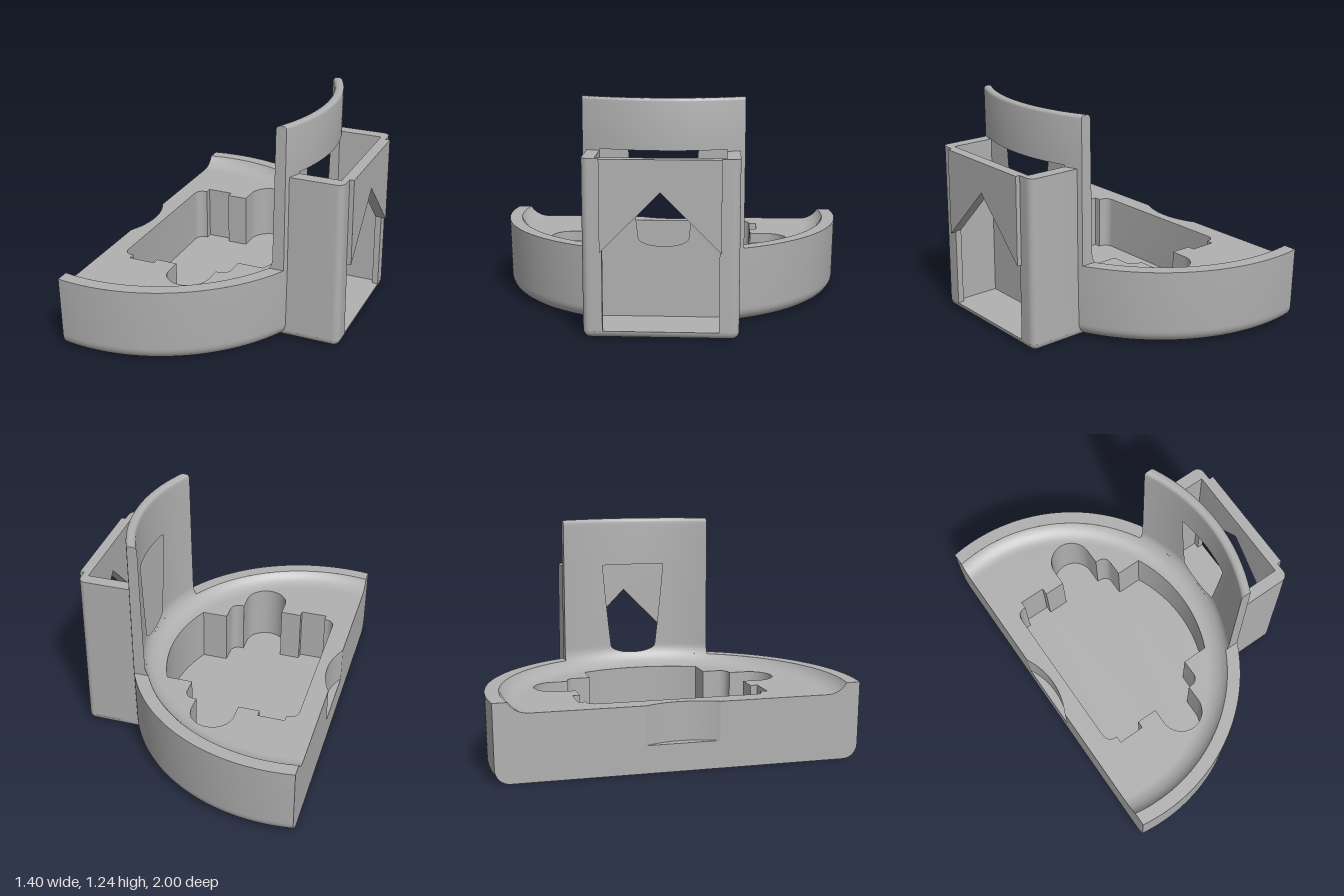
import * as THREE from 'three';
import { toCreasedNormals } from 'three/addons/utils/BufferGeometryUtils.js';

const CX = -0.54, CUT = -0.7;        // dish axis and the flat cut plane
const WALL_Z = 0.435, CAV_Z = 0.34;  // half widths of the tall wall and the housing cavity
const CAV_X = 0.39, HOLE_TOP = 0.965;
const PI = Math.PI;

const grey = new THREE.MeshStandardMaterial({ color: 0xb0b0b0, side: THREE.DoubleSide });
grey.name = 'grey plastic';

const range = (n, f) => Array.from({ length: n + 1 }, (_, i) => f(i / n));
const lerp = THREE.MathUtils.lerp;
const arc = (cx, cz, r, a, b, n = 16) =>
  range(n, t => [cx + r * Math.cos(lerp(a, b, t)), cz + r * Math.sin(lerp(a, b, t))]);
const mirrorZ = pts => pts.map(([x, z]) => [x, -z]);
const shapeOf = pts => new THREE.Shape(pts.map(p => new THREE.Vector2(p[0], p[1])));

// Surface through equal-length rows of [x, y, z] points
function skin(rows) {
  const n = rows[0].length, idx = [];
  for (let j = 0; j < rows.length - 1; j++)
    for (let i = 0; i < n - 1; i++) {
      const a = j * n + i, b = a + n;
      idx.push(a, b, a + 1, a + 1, b, b + 1);
    }
  const g = new THREE.BufferGeometry();
  g.setAttribute('position', new THREE.Float32BufferAttribute(rows.flat(2), 3));
  g.setIndex(idx);
  return toCreasedNormals(g, 0.6);
}

// Partial revolve of an [r, y] profile; the end angles depend on the radius
const sweep = (profile, from, to, n = 48) => skin(profile.map(([r, y]) =>
  arc(CX, 0, r, from(r), to(r), n).map(([x, z]) => [x, y, z])));

// Flat face or slab from [x, z] points, and flat face from [z, y] points
function flat(pts, y, hole) {
  const s = shapeOf(pts);
  if (hole) s.holes.push(shapeOf(hole));
  return new THREE.ShapeGeometry(s).rotateX(PI / 2).translate(0, y, 0);
}
const slab = (pts, y0, y1) => toCreasedNormals(
  new THREE.ExtrudeGeometry(shapeOf(pts), { depth: y1 - y0, bevelEnabled: false })
    .rotateX(PI / 2).translate(0, y1, 0), 0.6);
const faceX = (pts, x) => new THREE.ShapeGeometry(shapeOf(pts)).rotateY(-PI / 2).translate(x, 0, 0);

// Angle limits
const toCut = r => Math.acos((CUT - CX) / r);
const toWall = r => Math.asin(WALL_Z / r);
const toCavity = r => Math.asin(CAV_Z / r);
const holeHalf = r => Math.sqrt(Math.max(0, r * r - (CAV_X - CX) ** 2));
const toHole = r => Math.asin(holeHalf(r) / r);
const neg = f => r => -f(r);

export function createModel() {
  const model = new THREE.Group();
  const add = (name, ...geos) => {
    const g = new THREE.Group();
    g.name = name;
    geos.forEach(geo => {
      const m = new THREE.Mesh(geo, grey);
      m.name = name;
      g.add(m);
    });
    model.add(g);
  };
  const both = (p, from, to, n) => [sweep(p, from, to, n), sweep(p, neg(from), neg(to), n)];

  // Profiles
  const cove = a => [0.817 + 0.123 * Math.sin(a), 0.36 + 0.12 * (1 - Math.cos(a))];
  const holeAngle = Math.asin((CAV_X - CX - 0.817) / 0.123);
  const innerR = y => 0.94 + 0.013 * (y - 0.48) / 0.74;
  const bottomRound = range(8, t => [0.912 + 0.08 * Math.sin(t * PI / 2), 0.08 - 0.08 * Math.cos(t * PI / 2)]);
  const outer = [[0.992, 0.08], [0.998, 0.42]];
  const dishCove = range(10, t => cove(t * PI / 3));
  const wallFoot = range(4, t => cove(lerp(PI / 3, holeAngle, t)));
  const wallBeside = [...range(14, t => cove(lerp(holeAngle, PI / 2, t * t))),
    ...range(6, t => lerp(0.5, HOLE_TOP, t)).map(y => [innerR(y), y])];
  const outerTop = [1.002, HOLE_TOP];
  const wallAbove = [[innerR(HOLE_TOP), HOLE_TOP], [0.952, 1.2],
    ...range(5, t => [0.975 - 0.022 * Math.cos(t * PI / 2), 1.218 + 0.022 * Math.sin(t * PI / 2)]),
    ...range(4, t => [0.988 + 0.016 * Math.sin(t * PI / 2), 1.224 + 0.016 * Math.cos(t * PI / 2)]),
    outerTop];

  // Dish shell
  add('dishOuterWall', ...both([...bottomRound, outer[1]], toCavity, toCut));
  const bottomLimit = toCut(0.912);
  add('dishUnderside', flat(arc(CX, 0, 0.912, -bottomLimit, bottomLimit, 64), 0));
  const rimInner = dishCove[dishCove.length - 1];
  add('dishRim', ...both([rimInner, outer[1]], toWall, toCut));
  add('dishCove', sweep(dishCove, neg(toCut), toCut, 96));

  // Pocket outline, one half mirrored
  const half = [
    ...arc(-0.54, 0.43, 0.05, PI, PI / 2, 6),
    [-0.53, 0.48], [-0.53, 0.52], [-0.38, 0.52], [-0.38, 0.48], [-0.26, 0.48],
    ...arc(-0.14, 0.57, 0.12, PI, 0, 20),
    [-0.02, 0.48], ...arc(0, 0.43, 0.05, PI / 2, 0, 6), [0.05, 0.34],
    ...arc(CX, 0, 0.812, Math.asin(0.34 / 0.812), 0, 14),
  ];
  const pocket = [...half, ...mirrorZ(half).reverse().slice(1)];

  // Dish floor with the pocket and the finger notch
  const notch = arc(-1.075, 0, 0.425, 0.49, -0.49, 16);
  const fl = toCut(0.817);
  add('dishFloor', flat([...arc(CX, 0, 0.817, -fl, fl, 96), ...notch], 0.36, pocket));
  const ring = [...pocket, pocket[0]];
  add('pocket', skin([0.04, 0.36].map(y => ring.map(([x, z]) => [x, y, z]))), flat(pocket, 0.04));
  add('fingerNotch', skin([0.15, 0.36].map(y => notch.map(([x, z]) => [x, y, z]))), flat(notch, 0.15));

  // Flat cut side of the dish
  const cutHalf = [...bottomRound, outer[1], ...dishCove.slice().reverse()]
    .map(([r, y]) => [Math.sqrt(r * r - (CUT - CX) ** 2), y]).concat([[0.2, 0.36], [0.2, 0.15]]);
  add('cutFace', faceX([...cutHalf, ...cutHalf.map(([z, y]) => [-z, y]).reverse()], CUT));

  // Tall curved wall, opened where the housing cavity breaks through
  add('tallWall',
    sweep(wallFoot, neg(toWall), toWall),
    ...both(wallBeside, toHole, toWall, 20),
    sweep(wallAbove, neg(toWall), toWall),
    ...both([outerTop, outer[1]], toCavity, toWall, 8));
  const endPts = [...wallFoot, ...wallBeside, ...wallAbove, outer[1]]
    .map(([r, y]) => [CX + Math.sqrt(r * r - WALL_Z ** 2), y]);
  add('wallEnds', ...[-WALL_Z, WALL_Z].map(z => new THREE.ShapeGeometry(shapeOf(endPts)).translate(0, 0, z)));
  const ri = innerR(HOLE_TOP), ro = outerTop[0];
  add('openingCeiling', flat([
    ...arc(CX, 0, ri, -toHole(ri), toHole(ri)), [CAV_X, CAV_Z],
    ...arc(CX, 0, ro, toCavity(ro), -toCavity(ro)), [CAV_X, -CAV_Z]], HOLE_TOP));

  // Back plane of the cavity, with the opening cut from its top edge
  const edge = wallBeside.map(([r, y]) => [holeHalf(r), y]);
  add('cavityBack', faceX([
    [-CAV_Z, 0.035], [CAV_Z, 0.035], [CAV_Z, HOLE_TOP], ...edge.slice().reverse(),
    ...edge.slice(1).map(([z, y]) => [-z, y]), [-CAV_Z, HOLE_TOP]], CAV_X));

  // Housing sides with front jambs
  const side = [[0.355, 0.41], ...arc(0.63, 0.37, 0.04, PI / 2, 0, 8),
    [0.67, 0.305], [0.635, 0.305], [0.635, CAV_Z], [0.355, CAV_Z]];
  add('housingSides', slab(side, 0.04, 0.955), slab(mirrorZ(side), 0.04, 0.955));

  // Housing base with rounded lower edges
  const basePath = inset => {
    const h = [[0.27, 0.41 - inset], ...arc(0.63, 0.37, 0.04 - inset, PI / 2, 0, 8)];
    return [...h, ...mirrorZ(h).reverse()];
  };
  add('housingBase',
    skin(range(6, t => basePath(0.04 * (1 - Math.sin(t * PI / 2)))
      .map(([x, z]) => [x, 0.04 * (1 - Math.cos(t * PI / 2)), z]))),
    flat(basePath(0.04), 0), flat(basePath(0), 0.039));

  // Raised front panel with a gable cut
  add('gablePanel', new THREE.ExtrudeGeometry(
    shapeOf([[-0.315, 0.955], [-0.315, 0.467], [0, 0.785], [0.315, 0.467], [0.315, 0.955]]),
    { depth: 0.06, bevelEnabled: false }).rotateY(-PI / 2).translate(0.695, 0, 0));

  return model;
}
